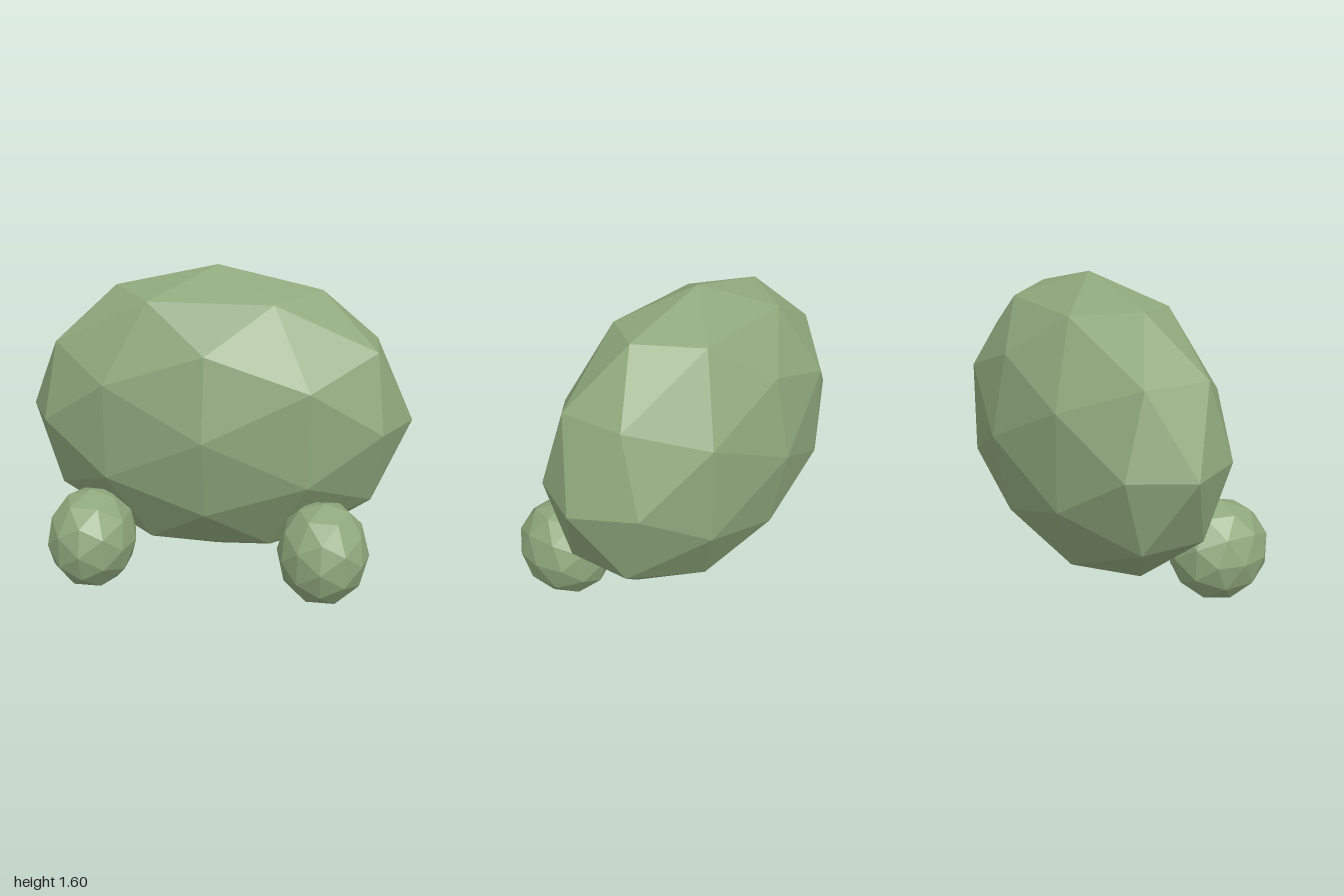
import * as THREE from 'three';

const sage = new THREE.MeshStandardMaterial({ color: 0x8fa87c });
sage.name = 'sageGreen';

// Faceted ellipsoid; the geometry is non-indexed, so recomputed normals stay flat
function facetedBlob(name, radii, position) {
  const geometry = new THREE.IcosahedronGeometry(1, 1);
  geometry.scale(...radii);
  geometry.computeVertexNormals();
  const mesh = new THREE.Mesh(geometry, sage);
  mesh.name = name;
  mesh.position.set(...position);
  return mesh;
}

export function createModel() {
  const model = new THREE.Group();
  model.name = 'roundBodyWithFeet';

  // Wide body, flattened front to back
  model.add(facetedBlob('body', [1, 0.767, 0.535], [0, 0.833, -0.07]));

  // Pair of small feet at the front
  for (const side of [1, -1]) {
    const name = side > 0 ? 'leftFoot' : 'rightFoot';
    model.add(facetedBlob(name, [0.227, 0.26, 0.259], [side * 0.585, 0.262, 0.347]));
  }
  return model;
}
